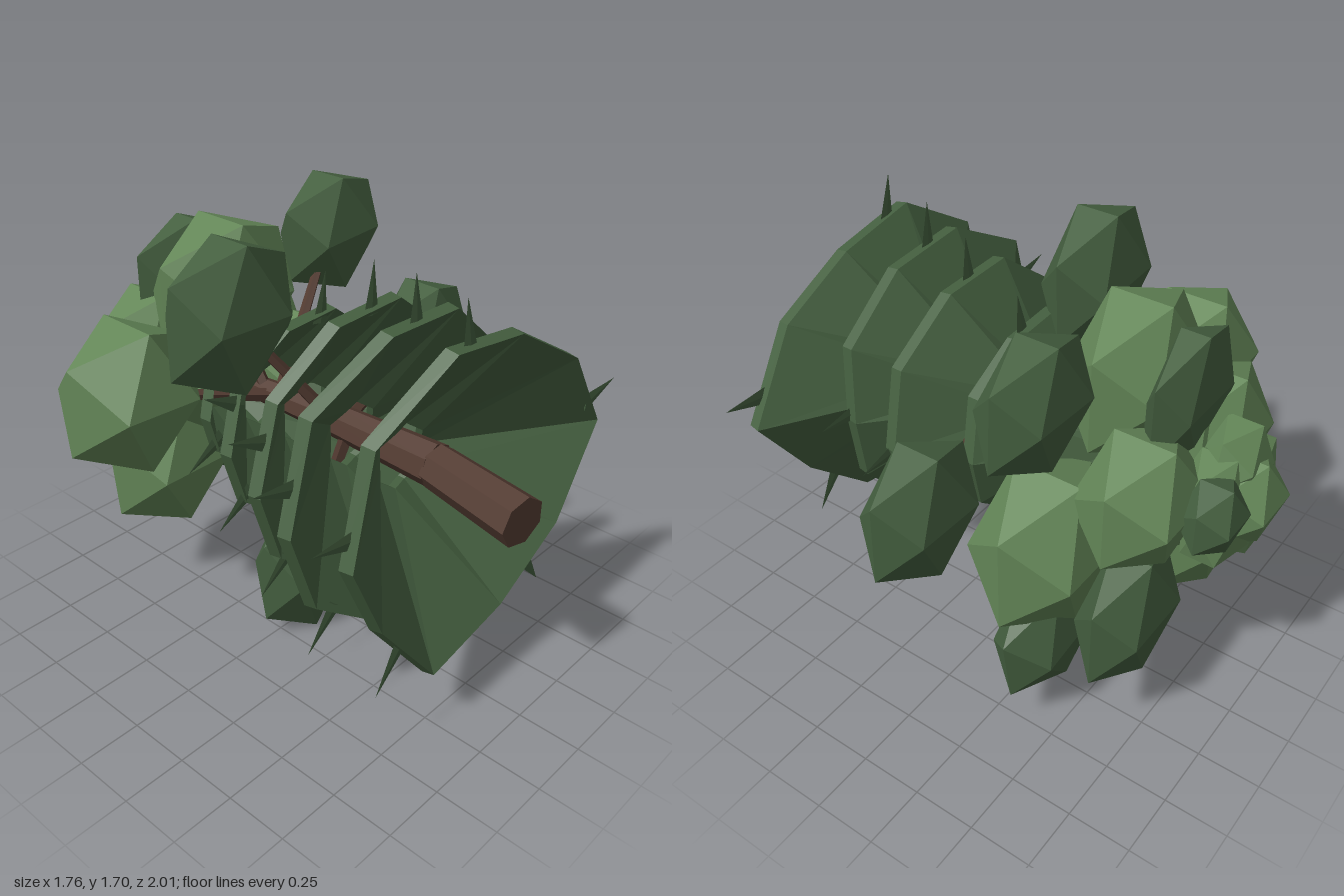
import * as THREE from 'three';

const AX = -0.1, AY = 0.95; // tree axis runs along z

const mat = (name, color) => {
  const m = new THREE.MeshStandardMaterial({ color, flatShading: true });
  m.name = name;
  return m;
};

function rng(seed) {
  return () => (seed = (seed * 16807) % 2147483647) / 2147483647;
}

// Tapered limb between two points
function limb(a, b, ra, rb, sides, material, name) {
  const A = new THREE.Vector3(...a), B = new THREE.Vector3(...b);
  const dir = B.clone().sub(A);
  const mesh = new THREE.Mesh(new THREE.CylinderGeometry(rb, ra, dir.length(), sides), material);
  mesh.position.copy(A).add(B).multiplyScalar(0.5);
  mesh.quaternion.setFromUnitVectors(new THREE.Vector3(0, 1, 0), dir.normalize());
  mesh.name = name;
  return mesh;
}

// Conical branch skirt: closed shell lofted through four uneven rings
function skirtGeometry(radii, z, depth, scale) {
  const n = radii.length, pos = [], idx = [];
  const rings = [[0, -depth], [1, -0.05], [0.985, 0], [0, -depth + 0.03]];
  rings.forEach(([f, dz]) => {
    radii.forEach((r, i) => {
      const a = (i / n) * Math.PI * 2;
      const rad = f === 0 ? 0.12 : r * f * scale;
      const x = Math.cos(a) * rad, y = Math.sin(a) * rad;
      pos.push(AX + x, AY + y, z + dz + 0.045 * x + (i % 2 ? 0.012 : -0.012));
    });
  });
  for (let k = 0; k < 4; k++) {
    for (let i = 0; i < n; i++) {
      const j = (i + 1) % n, k2 = (k + 1) % 4;
      const a = k * n + i, b = k * n + j, c = k2 * n + j, d = k2 * n + i;
      idx.push(a, b, d, b, c, d);
    }
  }
  const g = new THREE.BufferGeometry();
  g.setAttribute('position', new THREE.Float32BufferAttribute(pos, 3));
  g.setIndex(idx);
  const flat = g.toNonIndexed();
  flat.computeVertexNormals();
  return flat;
}

export function createModel() {
  const tree = new THREE.Group();
  tree.name = 'tree';
  const bark = mat('bark brown', 0x533b31);
  const dark = mat('dark needle green', 0x456040);
  const light = mat('light leaf green', 0x648758);
  const rand = rng(77);

  // Trunk in tapering, slightly bent segments
  const trunk = new THREE.Group();
  trunk.name = 'trunk';
  const path = [[-0.125, 0.93, 1, 0.095], [-0.065, 0.95, 0.6, 0.085], [-0.06, 0.95, 0.1, 0.065], [-0.1, 0.95, -0.7, 0.03]];
  for (let i = 0; i < 3; i++) {
    const p = path[i], q = path[i + 1];
    trunk.add(limb(p.slice(0, 3), q.slice(0, 3), p[3], q[3], 7, bark, 'trunkSegment'));
  }
  tree.add(trunk);

  // Skirts with flat pointed twigs at the rim
  const even = [0.51, 0.52, 0.54, 0.54, 0.53, 0.54, 0.53, 0.53, 0.53, 0.52];
  const skirts = [
    { z: 0.82, depth: 0.38, s: 1, r: [0.71, 0.59, 0.56, 0.62, 0.65, 0.64, 0.58, 0.7, 0.62, 0.58] },
    { z: 0.56, depth: 0.35, s: 1, r: [0.46, 0.52, 0.57, 0.59, 0.64, 0.64, 0.62, 0.62, 0.58, 0.5] },
    { z: 0.32, depth: 0.34, s: 1, r: even },
    { z: 0.05, depth: 0.28, s: 0.78, r: even },
    { z: -0.2, depth: 0.24, s: 0.55, r: even },
  ];
  skirts.forEach(({ z, depth, s, r }, k) => {
    const tier = new THREE.Group();
    tier.name = 'skirtTier' + (k + 1);
    const shell = new THREE.Mesh(skirtGeometry(r, z, depth, s), dark);
    shell.name = 'skirt';
    tier.add(shell);
    for (let i = 0; i < 5; i++) {
      const deg = [3, 93, 165, 226, 300][i] - (k - 1) * 6;
      const a = deg * Math.PI / 180;
      const t = (deg + 360) % 360 / 36, i0 = Math.floor(t) % 10;
      const rad = THREE.MathUtils.lerp(r[i0], r[(i0 + 1) % 10], t % 1) * s;
      const g = new THREE.ConeGeometry(0.038, 0.2, 4);
      g.scale(1, 1, 0.15);
      const twig = new THREE.Mesh(g, dark);
      twig.position.set(AX + Math.cos(a) * (rad + 0.04), AY + Math.sin(a) * (rad + 0.04), z - 0.025 + 0.045 * Math.cos(a) * rad);
      twig.rotation.z = a - Math.PI / 2;
      twig.name = 'twigTip';
      tier.add(twig);
    }
    tree.add(tier);
  });

  // Leaf clumps: x, y, z, half height, half width, half depth, turn
  const unit = new THREE.IcosahedronGeometry(1 / 0.8507, 0).rotateZ(Math.PI / 2);
  const clump = ([x, y, z, h, w, d, turn = 0], material, name) => {
    const m = new THREE.Mesh(unit, material);
    m.scale.set(w, h, d);
    m.position.set(x, y, z);
    m.rotation.z = turn;
    m.name = name;
    tree.add(m);
  };

  // Outer clumps carried by branches
  const outer = [
    [-0.41, 1.43, -0.05, 0.27, 0.265, 0.14, -0.05],
    [0.42, 1.445, -0.35, 0.23, 0.24, 0.13, 0.05],
    [0.635, 0.99, -0.03, 0.25, 0.24, 0.14, 0.03],
    [0.35, 0.38, -0.36, 0.235, 0.245, 0.13, -0.15],
    [-0.135, 0.28, 0.01, 0.28, 0.205, 0.135],
  ];
  const branch = ([x, y, z]) =>
    tree.add(limb([-0.08, AY, z + 0.2], [x, y, z], 0.028, 0.016, 5, bark, 'branch'));
  outer.forEach((c) => {
    clump(c, dark, 'outerClump');
    branch(c);
  });
  clump([-0.08, 1.31, -0.64, 0.25, 0.25, 0.09], dark, 'upperClump');
  clump([0.25, 0.56, -0.65, 0.26, 0.25, 0.13], dark, 'lowerClump');
  clump([0.12, 1.03, -0.87, 0.13, 0.13, 0.1], dark, 'tipClump');

  // Inner crown clumps
  const inner = [
    [-0.615, 1.09, -0.38, 0.27, 0.26, 0.205, -0.06],
    [0.32, 0.78, -0.34, 0.31, 0.29, 0.22],
    [0.19, 1.04, -0.63, 0.24, 0.24, 0.19],
    [-0.1, 1.32, -0.42, 0.29, 0.3, 0.195],
    [-0.28, 0.6, -0.6, 0.27, 0.27, 0.18],
    [-0.28, 1.06, -0.66, 0.25, 0.25, 0.16],
    [-0.1, 0.95, -0.58, 0.3, 0.3, 0.2],
  ];
  inner.forEach((c) => clump(c, light, 'crownClump'));
  branch(inner[0]);
  branch(inner[3]);

  // Small clumps gathered at the tip
  clump([-0.12, 0.95, -0.86, 0.17, 0.17, 0.14], light, 'tipClump');
  for (let i = 0; i < 5; i++) {
    const a = i * 1.257 + 0.5;
    clump([AX - 0.02 + Math.cos(a) * 0.12, AY + Math.sin(a) * 0.13, -0.8 - rand() * 0.06, 0.15, 0.16, 0.11, rand()], light, 'tipClump');
  }
  return tree;
}
